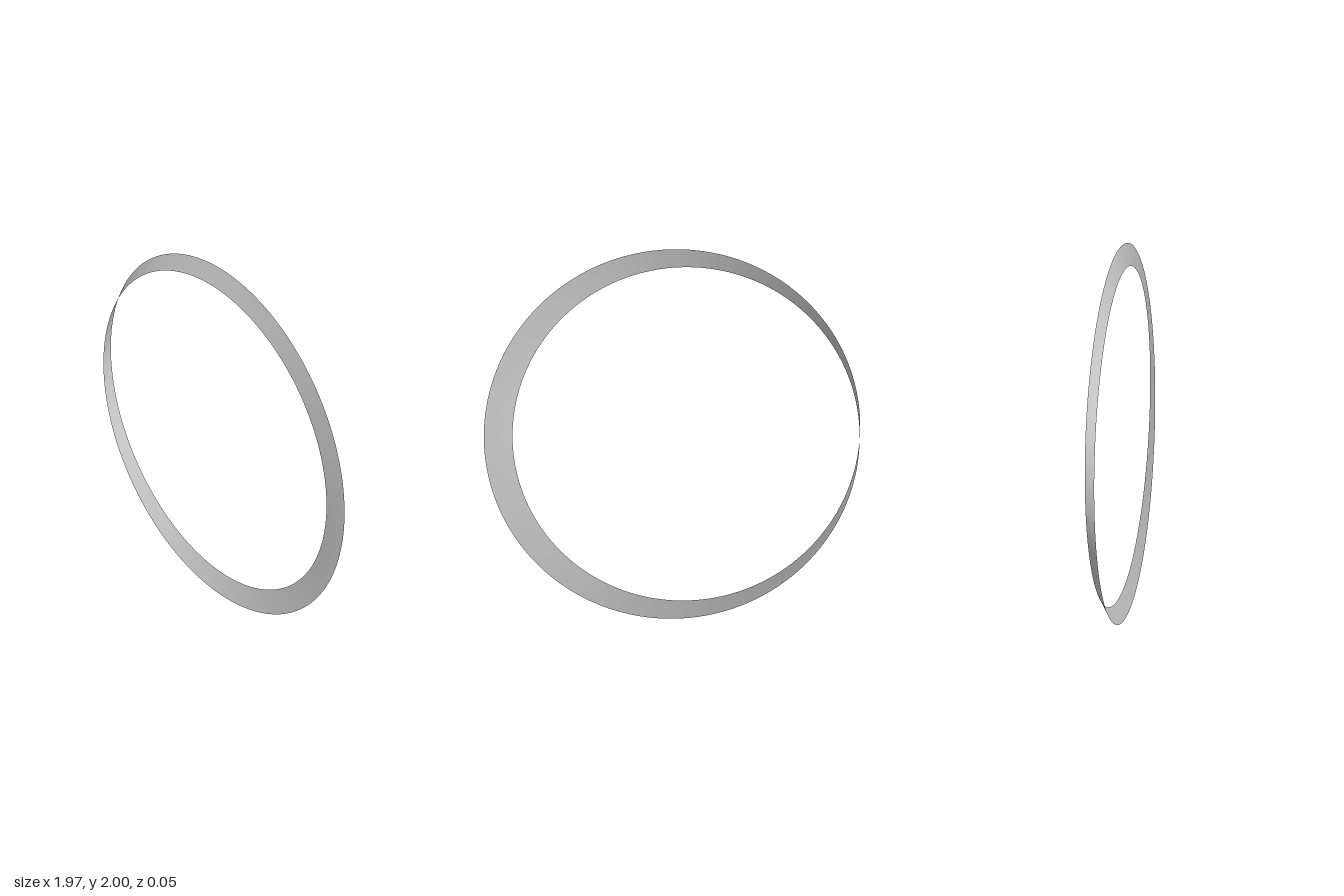
import * as THREE from 'three';

const RADIUS = 0.945;      // centre line of the band
const HALF_WIDTH = 0.075;  // half the band's width
const FLATTEN = 1 / 3;     // depth is squashed along z
const OFFSET_X = -0.0375;  // keeps the band centred on x = 0

export function createModel() {
  const group = new THREE.Group();
  group.name = 'twistedRing';

  // A flat strip (x across, y along) bent into a loop with one half twist
  const geometry = new THREE.PlaneGeometry(2 * HALF_WIDTH, 1, 8, 192);
  const pos = geometry.attributes.position;
  for (let i = 0; i < pos.count; i++) {
    const u = pos.getX(i);
    const t = (pos.getY(i) + 0.5) * Math.PI * 2;
    const r = RADIUS + u * Math.cos(t / 2);
    pos.setXYZ(
      i,
      OFFSET_X + r * Math.cos(t),
      1 + r * Math.sin(t),
      -FLATTEN * u * Math.sin(t / 2)
    );
  }
  geometry.computeVertexNormals();

  const band = new THREE.Mesh(
    geometry,
    new THREE.MeshStandardMaterial({ color: 0xcccccc, side: THREE.DoubleSide })
  );
  band.name = 'mobiusBand';
  group.add(band);
  return group;
}
